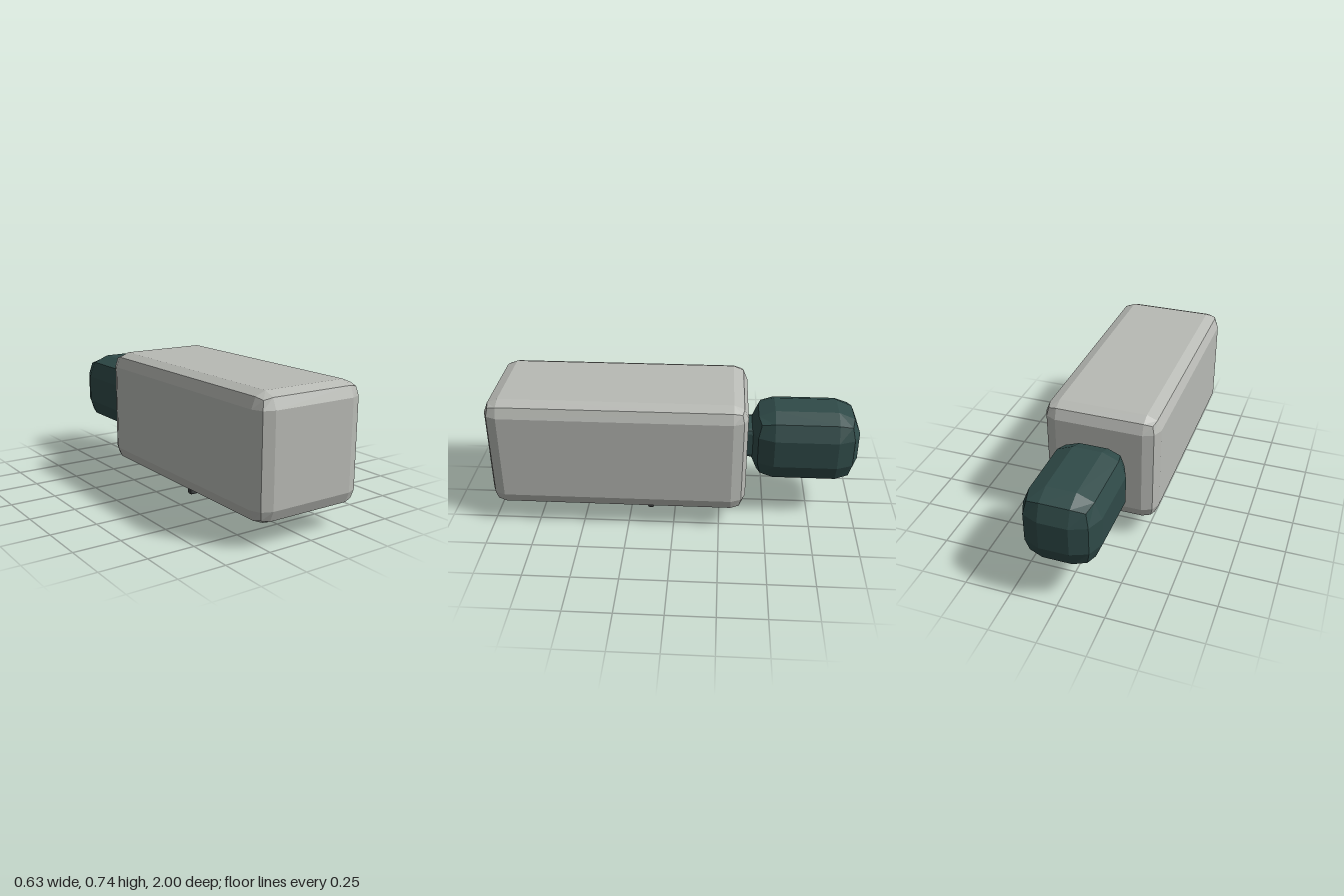
import * as THREE from 'three';

// Box between two corners with every edge rounded by two flat facets of radius r
function bevelBox(name, min, max, r, material) {
  const lo = new THREE.Vector3(...min), hi = new THREE.Vector3(...max);
  const core = hi.clone().sub(lo).multiplyScalar(0.5).subScalar(r);
  const geo = new THREE.BoxGeometry(2, 2, 2, 3, 3, 3);
  const pos = geo.attributes.position;
  const p = new THREE.Vector3(), dir = new THREE.Vector3();
  for (let i = 0; i < pos.count; i++) {
    p.fromBufferAttribute(pos, i);
    // inner grid lines bound the flat faces, outer ones lie on the rounding
    dir.set(Math.round(p.x), Math.round(p.y), Math.round(p.z)).normalize().multiplyScalar(r);
    p.set(Math.sign(p.x), Math.sign(p.y), Math.sign(p.z)).multiply(core).add(dir);
    pos.setXYZ(i, p.x, p.y, p.z);
  }
  geo.computeVertexNormals();
  const mesh = new THREE.Mesh(geo, material);
  mesh.name = name;
  mesh.position.addVectors(lo, hi).multiplyScalar(0.5);
  return mesh;
}

export function createModel() {
  const paint = (color) => new THREE.MeshStandardMaterial({ color, flatShading: true });
  const shell = paint(0xb8bab5), grip = paint(0x2f4a48), dark = paint(0x3c4040);

  const model = new THREE.Group();
  model.name = 'model';
  model.add(
    // long main housing
    bevelBox('body', [-0.313, 0.115, -0.39], [0.313, 0.742, 1], 0.078, shell),
    // rear knob and the short neck that joins it to the housing
    bevelBox('knob', [-0.2, 0.23, -1], [0.2, 0.63, -0.415], 0.123, grip),
    bevelBox('neck', [-0.1, 0.343, -0.45], [0.1, 0.518, -0.35], 0.025, grip),
    // hanging tab and flat pad on the underside
    bevelBox('tab', [-0.121, 0, 0.12], [0.121, 0.15, 0.157], 0.01, dark),
    bevelBox('pad', [-0.15, 0.09, -0.137], [0.15, 0.135, 0.073], 0.008, dark),
  );
  return model;
}
